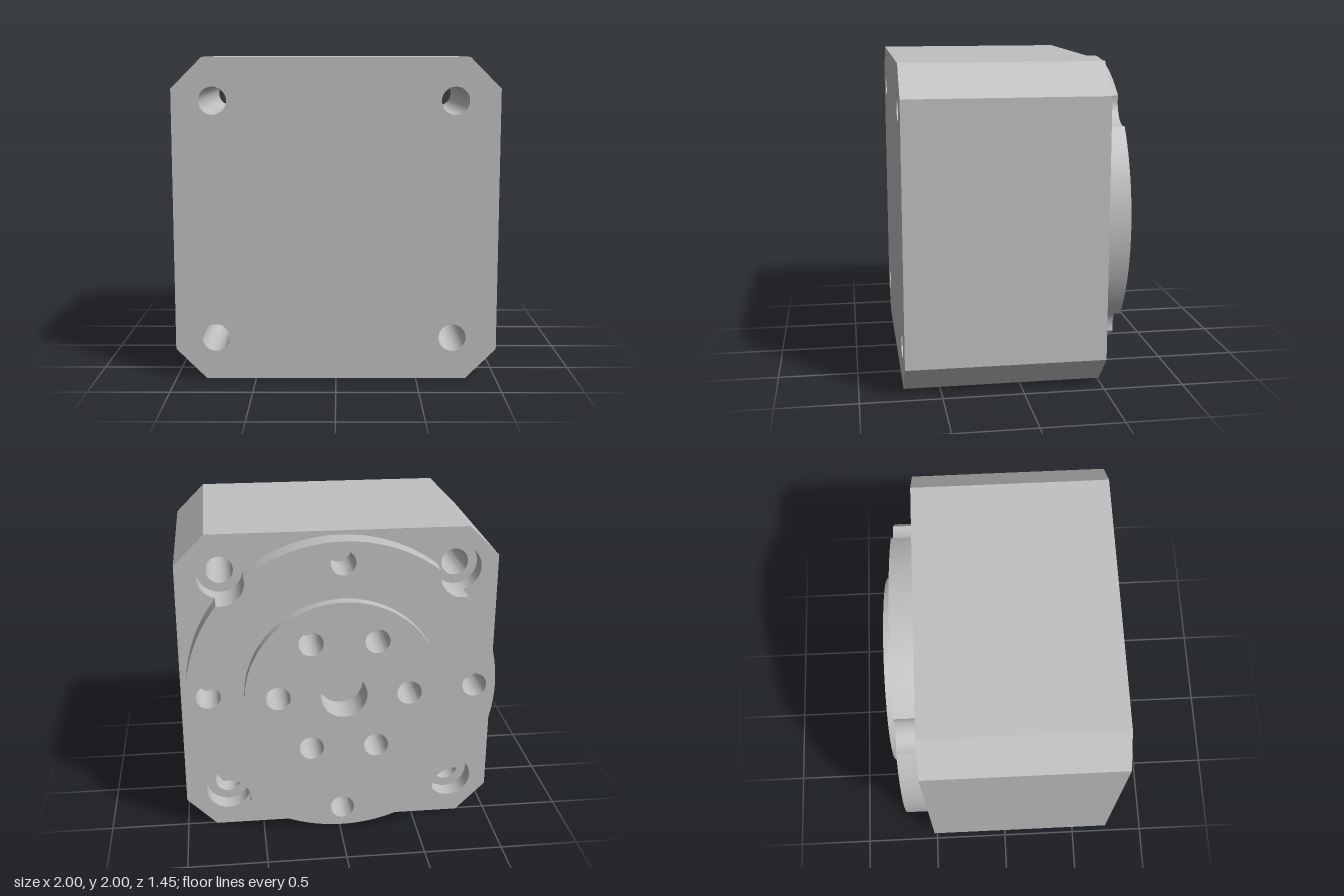
import * as THREE from 'three';
import { toCreasedNormals } from 'three/addons/utils/BufferGeometryUtils.js';

const CX = -0.012; // shared axis of flange, pilot and bolt pattern
const R_FLANGE = 0.974, R_PILOT = 0.617;
const BOLT = 0.7375, R_BOLT = 0.085, R_BORE = 0.143;
const TAU = Math.PI * 2;

function hole(x, y, r) {
  return new THREE.Path().absarc(x, y, r, 0, TAU, true);
}

// evenly spaced circle of holes around the axis
function ring(count, radius, r) {
  return Array.from({ length: count }, (_, i) => {
    const a = (i / count) * TAU;
    return hole(CX + radius * Math.cos(a), radius * Math.sin(a), r);
  });
}

function cornerHoles(r) {
  return [[1, 1], [-1, 1], [-1, -1], [1, -1]].map(([sx, sy]) => hole(CX + sx * BOLT, sy * BOLT, r));
}

// square with chamfered corners
function bodyShape() {
  const c = 0.81;
  return new THREE.Shape([[1, -c], [1, c], [c, 1], [-c, 1], [-1, c], [-1, -c], [-c, -1], [c, -1]]
    .map(([x, y]) => new THREE.Vector2(x, y)));
}

// disc whose rim is bitten by the four bolt counterbores
function flangeShape() {
  const D = BOLT * Math.SQRT2, R = R_FLANGE, r = R_BORE;
  const a = Math.acos((R * R + D * D - r * r) / (2 * R * D));
  const b = Math.acos((D * D + r * r - R * R) / (2 * D * r));
  const s = new THREE.Shape();
  for (let k = 0; k < 4; k++) {
    const t = Math.PI / 4 + k * Math.PI / 2;
    s.absarc(CX, 0, R, t - Math.PI / 2 + a, t - a, false);
    s.absarc(CX + D * Math.cos(t), D * Math.sin(t), r, t + Math.PI + b, t + Math.PI - b, true);
  }
  return s;
}

export function createModel() {
  const group = new THREE.Group();
  const metal = new THREE.MeshStandardMaterial({ color: 0xc0c0c0 });
  metal.name = 'light grey metal';

  function slab(name, shape, holes, zBack, zFront) {
    shape.holes.push(...holes);
    const geo = new THREE.ExtrudeGeometry(shape, {
      depth: zFront - zBack, bevelEnabled: false, curveSegments: 24,
    });
    const mesh = new THREE.Mesh(toCreasedNormals(geo, 0.5), metal);
    mesh.name = name;
    mesh.position.set(0, 1, zBack);
    group.add(mesh);
  }

  const centreBore = () => hole(CX, 0, 0.145);
  const pilotHoles = () => ring(6, 0.41, 0.077);
  const flangeHoles = () => ring(4, 0.84, 0.077);

  // housing: through holes in front, counterbores and blind holes behind
  slab('housing', bodyShape(), cornerHoles(R_BOLT), -0.39, 0.725);
  slab('housingBack', bodyShape(),
    [...cornerHoles(R_BORE), ...pilotHoles(), ...flangeHoles()], -0.51, -0.39);

  // mounting flange
  slab('flange', flangeShape(), [centreBore(), ...pilotHoles(), ...flangeHoles()], -0.655, -0.51);

  // raised output disc
  const disc = new THREE.Shape().absarc(CX, 0, R_PILOT, 0, TAU, false);
  slab('outputDisc', disc, [centreBore(), ...pilotHoles()], -0.725, -0.655);

  return group;
}
